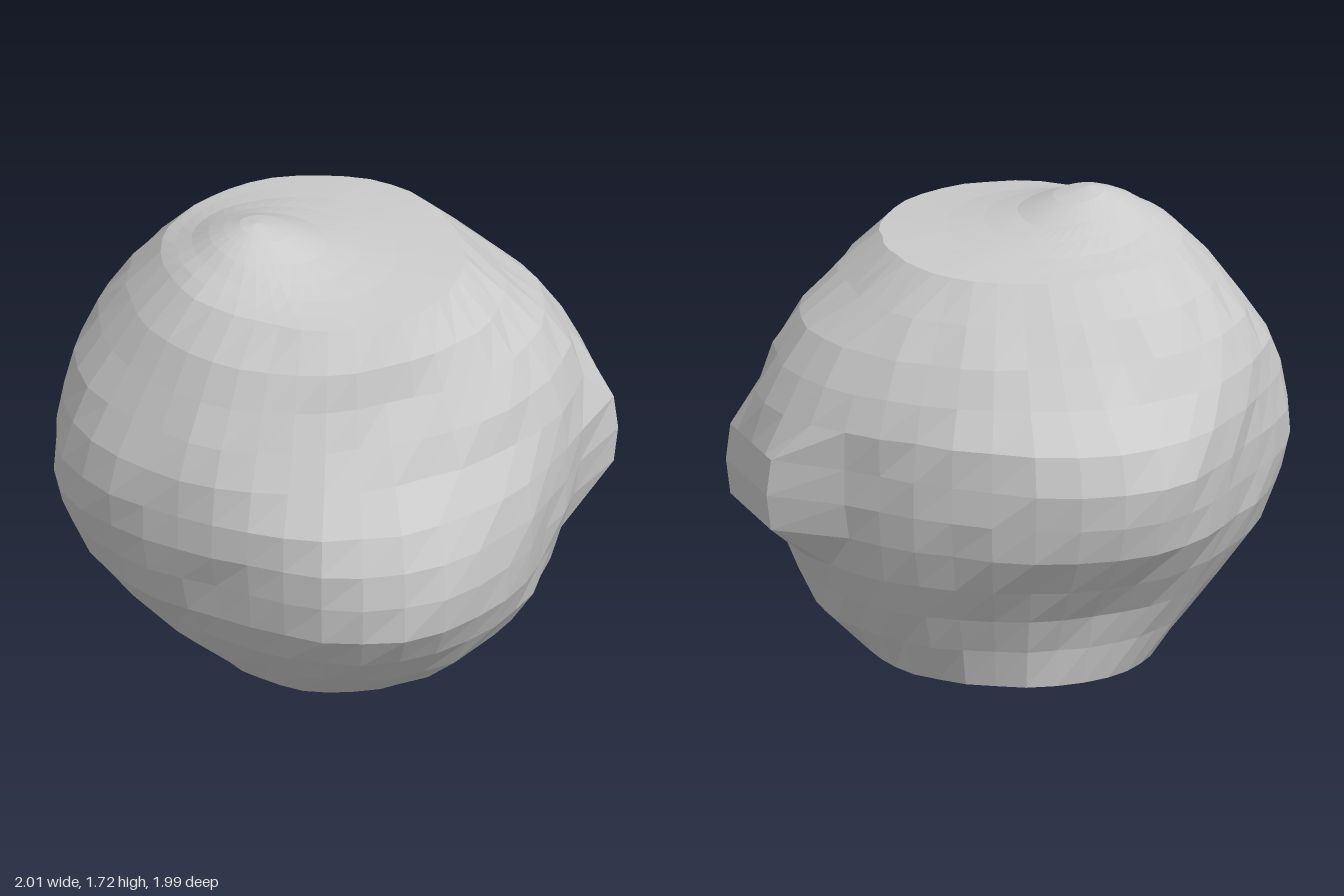
import * as THREE from 'three';

// Height, then radius every 45 degrees, going from +x round through +z, -x and -z
const RINGS = [
  [0.02, 0.28, 0.32, 0.35, 0.35, 0.32, 0.36, 0.42, 0.37],
  [0.10, 0.56, 0.57, 0.60, 0.55, 0.48, 0.54, 0.66, 0.65],
  [0.24, 0.70, 0.73, 0.78, 0.68, 0.66, 0.65, 0.69, 0.71],
  [0.37, 0.76, 0.81, 0.90, 0.78, 0.78, 0.72, 0.74, 0.77],
  [0.50, 0.83, 0.85, 0.98, 0.85, 0.90, 0.80, 0.84, 0.83],
  [0.64, 0.89, 0.88, 1.00, 0.88, 0.97, 0.85, 0.95, 0.86],
  [0.77, 0.92, 0.89, 0.99, 0.90, 1.00, 0.87, 0.98, 0.87],
  [0.90, 0.94, 0.88, 0.93, 0.90, 1.00, 0.88, 1.00, 0.87],
  [1.04, 0.93, 0.85, 0.82, 0.88, 0.96, 0.88, 0.96, 0.86],
  [1.17, 0.86, 0.81, 0.75, 0.83, 0.90, 0.86, 0.83, 0.81],
  [1.30, 0.77, 0.73, 0.69, 0.77, 0.82, 0.80, 0.73, 0.74],
  [1.43, 0.61, 0.64, 0.66, 0.70, 0.72, 0.70, 0.64, 0.65],
  [1.56, 0.46, 0.51, 0.59, 0.58, 0.60, 0.58, 0.55, 0.53],
];
const SIDES = 40;
const PEAK_X = -0.28;

// Smooth periodic interpolation of a ring's eight radii
function radiusAt(radii, turn) {
  const s = turn * 8, k = Math.floor(s), t = s - k;
  const [a, b, c, d] = [-1, 0, 1, 2].map((o) => radii[(k + o + 8) % 8]);
  return b + 0.5 * t * (c - a + t * (2 * a - 5 * b + 4 * c - d + t * (3 * (b - c) + d - a)));
}

// Blunt knob on the +x side, with an abrupt underside
function addKnob(p) {
  if (p.x > 0 && Math.abs(p.z) < 0.31 && p.y > 0.6 && p.y < 1.0) {
    p.x = Math.max(p.x, 1.0 - 0.13 * Math.abs(p.y - 0.77));
    p.z = THREE.MathUtils.clamp(p.z, -0.21, 0.22);
  }
}

// Gently domed top rising to an off-centre peak
function topHeight(x, z, inset) {
  return 1.56 + 0.035 * inset + 0.12 * Math.exp(-((x - PEAK_X) ** 2 + z * z) / 0.048);
}

export function createModel() {
  let seed = 7;
  const jitter = () => {
    seed = (seed * 16807) % 2147483647;
    return (seed / 2147483647 - 0.5) * 0.02;
  };

  const rows = [];
  const addRow = (radii, rough, place) => {
    const row = [];
    for (let j = 0; j < SIDES; j++) {
      const a = (j / SIDES) * Math.PI * 2;
      const r = radiusAt(radii, j / SIDES) + (rough ? jitter() : 0);
      const p = new THREE.Vector3(Math.cos(a) * r, 0, Math.sin(a) * r);
      p.x -= 0.07 * p.z * p.z; // front and back bulges lean towards -x
      place(p);
      addKnob(p);
      row.push(p);
    }
    rows.push(row);
  };

  // Underside, lumpy flank, then the top closing in on its peak
  const lowest = RINGS[0].slice(1), highest = RINGS[RINGS.length - 1].slice(1);
  for (const s of [0, 0.6]) {
    addRow(lowest, false, (p) => p.multiplyScalar(s).setY(0.005 * s));
  }
  for (const [y, ...radii] of RINGS) addRow(radii, true, (p) => p.setY(y));
  for (const s of [0.85, 0.68, 0.5, 0.34, 0.17, 0]) {
    addRow(highest, false, (p) => {
      p.set(p.x * s + PEAK_X * (1 - s), 0, p.z * s);
      p.y = topHeight(p.x, p.z, Math.min(1, (1 - s) * 2));
    });
  }

  const positions = [], index = [];
  rows.forEach((row, i) => row.forEach((p, j) => {
    positions.push(p.x, p.y, p.z);
    if (i === rows.length - 1) return;
    const a = i * SIDES + j, b = i * SIDES + (j + 1) % SIDES;
    const c = a + SIDES, d = b + SIDES;
    if (i === 0) index.push(a, c, d);
    else index.push(a, c, b);
    if (i > 0 && i < rows.length - 2) index.push(b, c, d);
  }));

  const geometry = new THREE.BufferGeometry();
  geometry.setAttribute('position', new THREE.Float32BufferAttribute(positions, 3));
  geometry.setIndex(index);
  geometry.computeVertexNormals();

  const rock = new THREE.Mesh(
    geometry,
    new THREE.MeshStandardMaterial({ color: 0xcccccc, flatShading: true }),
  );
  rock.name = 'boulder';
  const group = new THREE.Group();
  group.name = 'rock';
  group.add(rock);
  return group;
}
